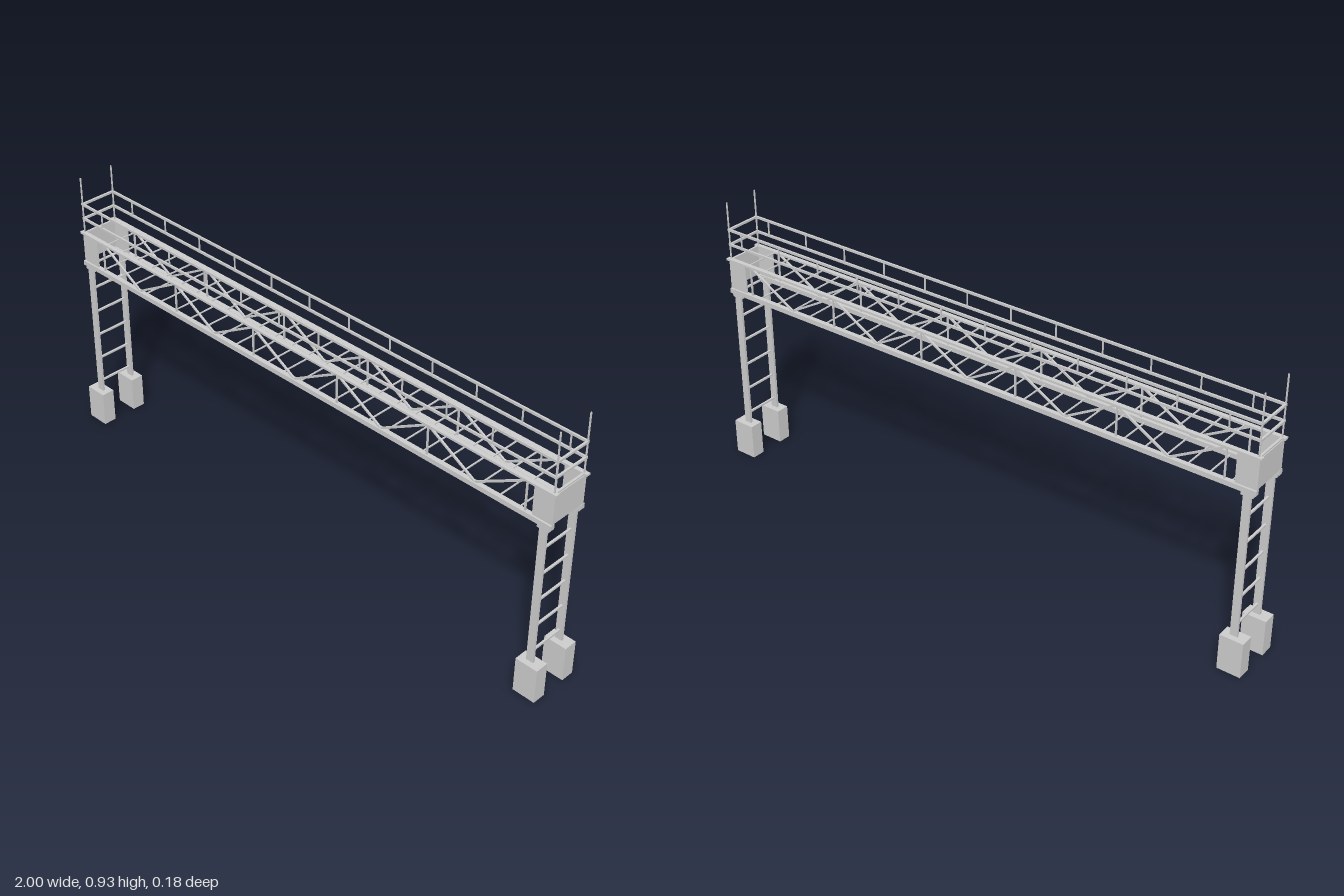
import * as THREE from 'three';

const material = new THREE.MeshStandardMaterial({ color: 0xcccccc, flatShading: true });

export function createModel() {
  const model = new THREE.Group();
  model.name = 'gantry';

  const box = (name, w, h, d, x, y, z) => {
    const mesh = new THREE.Mesh(new THREE.BoxGeometry(w, h, d), material);
    mesh.name = name;
    mesh.position.set(x, y, z);
    model.add(mesh);
    return mesh;
  };

  // bar lying in a vertical plane of constant z
  const diagonal = (name, x1, y1, x2, y2, z, t) => {
    const bar = box(name, Math.hypot(x2 - x1, y2 - y1), t, t, (x1 + x2) / 2, (y1 + y2) / 2, z);
    bar.rotation.z = Math.atan2(y2 - y1, x2 - x1);
  };

  const Z = 0.065;        // side frames
  const LEG_X = 0.957;
  const RAIL_X = 0.979;
  const BOTTOM = 0.621;   // bottom chord height
  const TOP = 0.732;      // top chord height

  for (const sx of [-1, 1]) {
    for (const sz of [-1, 1]) {
      // footing, leg and leg head
      box('footing', 0.078, 0.122, 0.046, sx * 0.961, 0.061, sz * Z);
      box('leg', 0.025, 0.49, 0.008, sx * LEG_X, 0.365, sz * Z);
      box('legHead', 0.04, 0.012, 0.01, sx * LEG_X, 0.607, sz * Z);
      // gusset plate between the chords, and the corner rod above it
      box('gussetPlate', 0.07, 0.1, 0.005, sx * 0.95, 0.679, sz * 0.064);
      box('cornerRod', 0.004, 0.2, 0.004, sx * RAIL_X, 0.832, sz * 0.063);
    }
    // ladder rungs between the legs
    for (let i = 0; i < 5; i++) {
      box('legRung', 0.007, 0.006, 2 * Z, sx * LEG_X, 0.157 + i * 0.0932, 0);
    }
    // closing plate and ties at the end of the bridge
    box('endPlate', 0.005, 0.098, 0.124, sx * 0.982, 0.68, 0);
    box('endTie', 0.007, 0.005, 2 * Z, sx * LEG_X, 0.622, 0);
    box('endTie', 0.007, 0.005, 2 * Z, sx * RAIL_X, TOP, 0);
    for (const y of [0.785, 0.837]) {
      box('endRail', 0.007, 0.007, 0.126, sx * RAIL_X, y, 0);
    }
  }

  for (const sz of [-1, 1]) {
    // chords of the side truss
    box('bottomChord', 1.97, 0.016, 0.016, 0, BOTTOM, sz * Z);
    box('topChord', 1.984, 0.007, 0.015, 0, TOP, sz * Z);

    // verticals and zigzag diagonals
    for (let i = 0; i < 6; i++) {
      const x = -0.882 + i * 0.3545;
      box('trussVertical', 0.005, TOP - BOTTOM, 0.005, x, (TOP + BOTTOM) / 2, sz * Z);
      if (i < 5) {
        const mid = x + 0.17725;
        diagonal('trussDiagonal', x, 0.73, mid, 0.628, sz * Z, 0.006);
        diagonal('trussDiagonal', mid, 0.628, x + 0.3545, 0.73, sz * Z, 0.006);
      }
    }

    // handrails and their short posts
    for (const y of [0.785, 0.837]) {
      box('handrail', 1.965, 0.008, 0.006, 0, y, sz * 0.063);
    }
    for (let i = 0; i < 12; i++) {
      box('railPost', 0.004, 0.052, 0.004, -0.882 + i * 0.1643, 0.811, sz * 0.063);
    }
  }

  // cross bars alternate between the bottom and the top chords
  for (let i = 0; i < 52; i++) {
    const x = -0.9 + i * 0.0353;
    box('crossBar', 0.004, 0.004, 2 * Z, x, i % 2 ? TOP : BOTTOM, 0);
  }

  return model;
}
